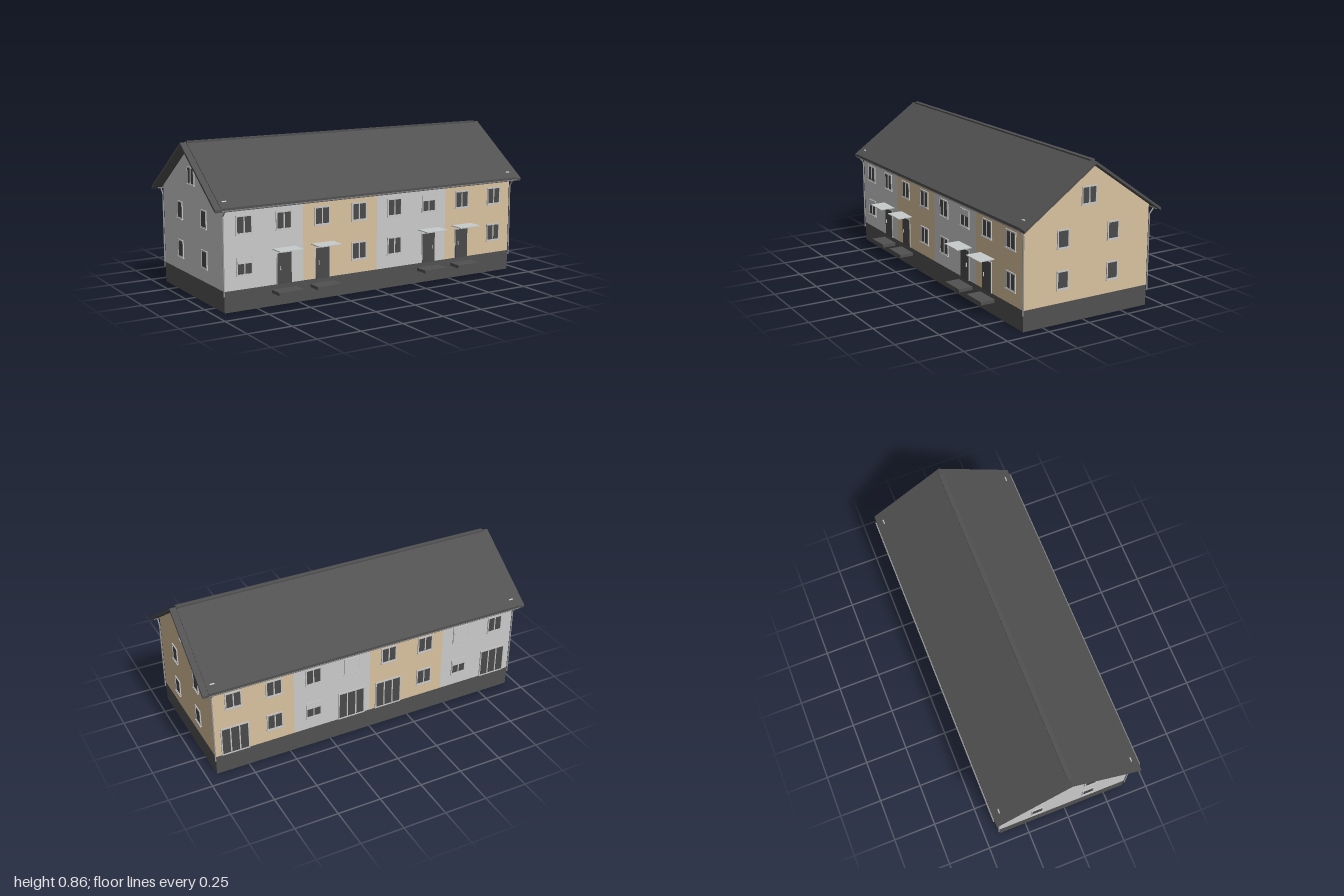
import * as THREE from 'three';

const mat = (name, color) => {
  const m = new THREE.MeshStandardMaterial({ color });
  m.name = name;
  return m;
};

// Overall dimensions
const FRONT = 0.37, BACK = -0.415, MID = -0.022, HALF = 0.94;
const PLINTH = 0.115, SLOPE = 0.7, APEX = 0.841, PITCH = 0.235;

export function createModel() {
  const house = new THREE.Group();
  house.name = 'terracedHouse';
  const M = {
    dark: mat('slateGrey', 0x515151),
    glass: mat('darkGlass', 0x4a4a4a),
    grey: mat('greyRender', 0xcacaca),
    tan: mat('tanRender', 0xd9c19e),
    trim: mat('lightTrim', 0xc4c4c6),
    metal: mat('zinc', 0x9c9c9c),
    canopy: mat('canopyGrey', 0xc8cccc),
  };

  const add = (parent, name, geometry, material, x = 0, y = 0, z = 0) => {
    const mesh = new THREE.Mesh(geometry, material);
    mesh.name = name;
    mesh.position.set(x, y, z);
    parent.add(mesh);
    return mesh;
  };
  const box = (parent, name, w, h, d, material, x, y, z) =>
    add(parent, name, new THREE.BoxGeometry(w, h, d), material, x, y, z);

  // Extrudes a [z, y] outline along x from x0 to x1
  const alongX = (points, x0, x1) => {
    const shape = new THREE.Shape(points.map(([z, y]) => new THREE.Vector2(-z, y)));
    const g = new THREE.ExtrudeGeometry(shape, { depth: x1 - x0, bevelEnabled: false });
    return g.rotateY(Math.PI / 2).translate(x0, 0, 0);
  };
  const slopeY = (z, apex) => apex - SLOPE * Math.abs(z - MID);

  // Plinth and four rendered house units, whose ends form the gables
  box(house, 'plinth', HALF * 2, PLINTH, FRONT - BACK, M.dark, 0, PLINTH / 2, (FRONT + BACK) / 2);
  const wall = [[FRONT, PLINTH], [FRONT, slopeY(FRONT, APEX)], [MID, APEX],
    [BACK, slopeY(BACK, APEX)], [BACK, PLINTH]];
  for (let i = 0; i < 4; i++) {
    const x0 = -HALF + i * HALF / 2;
    add(house, 'wallUnit' + (i + 1), alongX(wall, x0, x0 + HALF / 2), i % 2 ? M.tan : M.grey);
  }

  // Roof: wide underlay reaching the verges, tiles and a ridge cap
  const chevron = (low, high) => {
    const a = 0.405, b = 2 * MID - a;
    return [[a, slopeY(a, low)], [a, slopeY(a, high)], [MID, high],
      [b, slopeY(b, high)], [b, slopeY(b, low)], [MID, low]];
  };
  add(house, 'roofVerge', alongX(chevron(APEX, 0.856), -1, 1), M.dark);
  add(house, 'roofTiles', alongX(chevron(0.856, 0.861), -0.965, 0.965), M.dark);
  box(house, 'ridgeCap', 1.93, 0.014, 0.026, M.dark, 0, 0.854, MID);

  // Eaves on both long sides: gutter, downpipes and small roof plates
  for (const s of [1, -1]) {
    const z = d => MID + s * d;
    const ring = [];
    for (let i = 0; i <= 16; i++) {
      const r = i <= 8 ? 0.011 : 0.009;
      const t = Math.PI * (i <= 8 ? i : 17 - i) / 8;
      ring.push([z(0.424) + Math.cos(Math.min(t, Math.PI)) * r, 0.552 - Math.sin(Math.min(t, Math.PI)) * r]);
    }
    add(house, 'gutter', alongX(ring, -0.965, 0.965), M.metal);
    for (const x of [-0.944, 0.944]) {
      const path = new THREE.CurvePath();
      const p = [[0.424, 0.545], [0.396, 0.513], [0.396, 0.09]]
        .map(([d, y]) => new THREE.Vector3(x, y, z(d)));
      path.add(new THREE.LineCurve3(p[0], p[1]));
      path.add(new THREE.LineCurve3(p[1], p[2]));
      add(house, 'downpipe', new THREE.TubeGeometry(path, 32, 0.004, 8), M.metal);
    }
    for (const x of [-0.93, 0.93]) {
      const plate = box(house, 'roofPlate', 0.026, 0.004, 0.007, M.canopy, x, slopeY(z(0.388), 0.862), z(0.388));
      plate.rotation.x = s * Math.atan(SLOPE);
    }
  }

  // A framed opening facing +z: glass, frame with panes, sill and optional shutter
  const opening = (parent, name, u, y0, w, h, { panes = 1, shutter = 0, sill = true } = {}) => {
    const g = new THREE.Group();
    g.name = name;
    g.position.set(u, y0, 0);
    const bar = 0.007, pane = (w - bar * (panes + 1)) / panes;
    const rect = (S, x, y, a, b) => new S([[x, y], [x + a, y], [x + a, y + b], [x, y + b]]
      .map(([px, py]) => new THREE.Vector2(px, py)));
    const frame = rect(THREE.Shape, -w / 2, 0, w, h);
    for (let i = 0; i < panes; i++) {
      frame.holes.push(rect(THREE.Path, -w / 2 + bar + i * (pane + bar), bar, pane, h - 2 * bar));
    }
    add(g, 'frame', new THREE.ExtrudeGeometry(frame, { depth: 0.006, bevelEnabled: false }), M.trim);
    if (shutter < 1) box(g, 'glass', w - 0.004, h - 0.004, 0.003, M.glass, 0, h / 2, 0.0015);
    if (shutter > 0) {
      const sh = (h - bar) * shutter;
      box(g, 'rollerShutter', w - bar, sh, 0.007, M.grey, 0, h - bar / 2 - sh / 2, 0.0035);
    }
    if (sill) box(g, 'sill', w + 0.006, 0.005, 0.01, M.trim, 0, 0, 0.005);
    parent.add(g);
    return g;
  };

  // One group per facade, each with its local +z pointing outwards
  const facade = (name, x, z, turn) => {
    const g = new THREE.Group();
    g.name = name;
    g.position.set(x, 0, z);
    g.rotation.y = turn;
    house.add(g);
    return g;
  };
  const W = 0.095, H = 0.1, UP = 0.41, LOW = 0.19;
  const column = i => (i - 3.5) * PITCH;

  // Front: windows, and doors with canopies and steps
  const front = facade('frontFacade', 0, FRONT, 0);
  const handles = { 1: -0.026, 2: -0.026, 5: 0.026, 6: -0.026 };
  for (let i = 0; i < 8; i++) {
    const x = column(i);
    opening(front, 'upperWindow', x, UP, W, H, { panes: 2, shutter: i === 5 ? 0.34 : 0 });
    if (!(i in handles)) {
      opening(front, 'lowerWindow', x, LOW, W, H, { panes: 2, shutter: i === 0 ? 0.36 : 0 });
      continue;
    }
    box(front, 'doorFrame', 0.092, 0.173, 0.004, M.trim, x, PLINTH + 0.0865, 0.002);
    box(front, 'door', 0.084, 0.169, 0.007, M.glass, x, PLINTH + 0.0845, 0.0035);
    box(front, 'doorHandle', 0.004, 0.022, 0.006, M.trim, x + handles[i], 0.203, 0.009);
    box(front, 'canopy', 0.14, 0.005, 0.09, M.canopy, x, 0.31, 0.045);
    box(front, 'step', 0.15, 0.018, 0.084, M.dark, x, 0.081, 0.042);
  }

  // Back: windows, closed shutters and wide patio doors
  const back = facade('backFacade', 0, BACK, Math.PI);
  const patio = [0, 3, 4, 7];
  for (let i = 0; i < 8; i++) {
    const x = column(i);
    opening(back, 'upperWindow', x, UP, W, H, { panes: 2, shutter: i === 3 || i === 6 ? 1 : 0 });
    if (patio.includes(i)) {
      opening(back, 'patioDoor', x, PLINTH, 0.165, 0.175, { panes: 3, sill: false });
    } else {
      opening(back, 'lowerWindow', x, LOW, W, H, { panes: 2, shutter: i === 2 || i === 6 ? 0.4 : 0 });
    }
  }

  // Gables: four single windows and a double attic window each
  for (const s of [1, -1]) {
    const gable = facade(s > 0 ? 'leftGable' : 'rightGable', s * HALF, 0, s * Math.PI / 2);
    for (const z of [0.133, -0.182]) {
      for (const y of [UP, LOW]) opening(gable, 'gableWindow', -s * z, y, 0.073, H);
    }
    opening(gable, 'atticWindow', -s * -0.024, 0.622, 0.093, 0.097, { panes: 2 });
  }
  return house;
}
